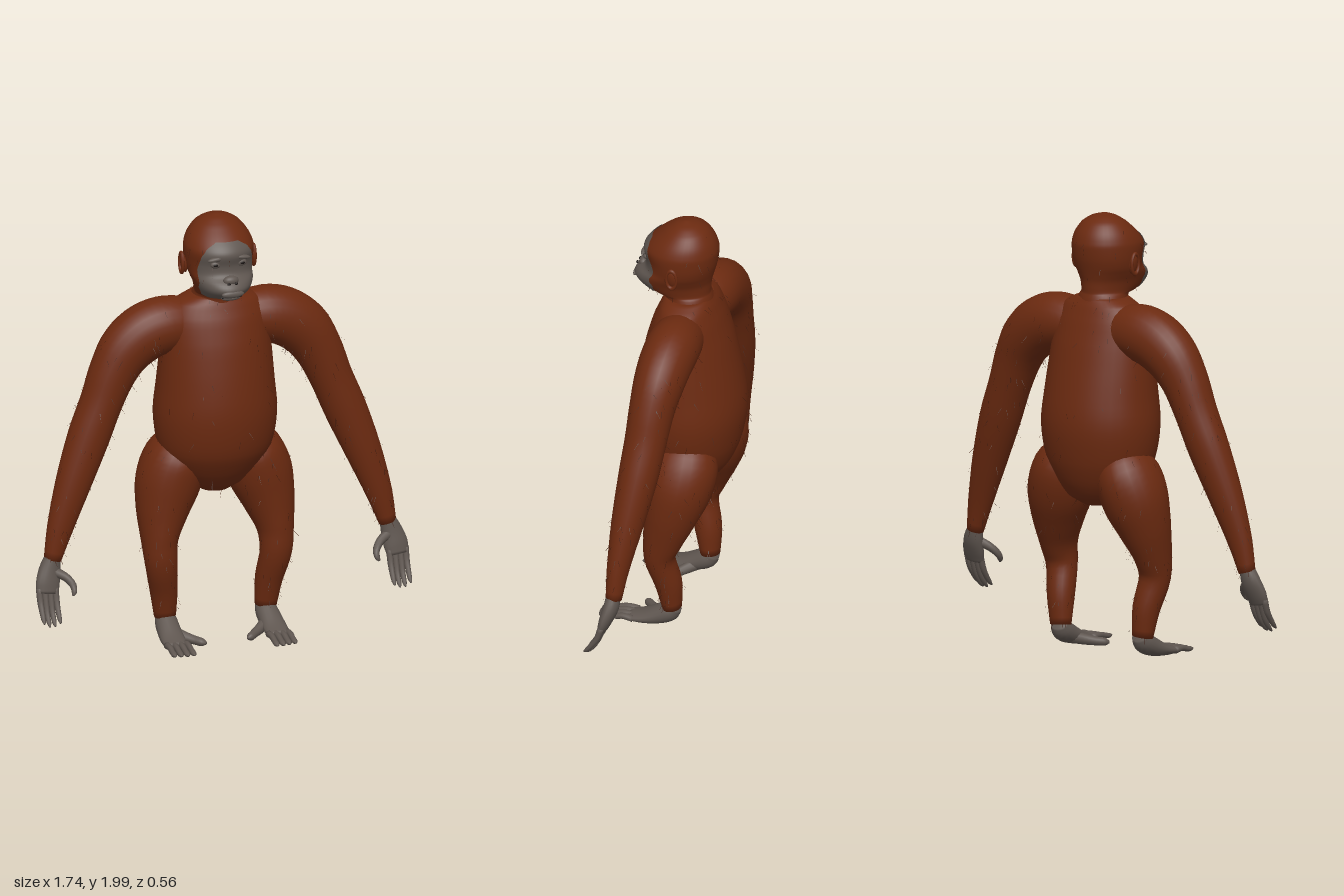
import * as THREE from 'three';
import { mergeGeometries } from 'three/addons/utils/BufferGeometryUtils.js';

const mat = (name, color) => Object.assign(new THREE.MeshStandardMaterial({ color }), { name });
const V = (x, y, z) => new THREE.Vector3(x, y, z);
const X = V(1, 0, 0), Y = V(0, 1, 0), Z = V(0, 0, 1);

// Smooth curves through rows of [x, y, z, width radius, depth radius]
function curves(rows) {
  return {
    centre: new THREE.CatmullRomCurve3(rows.map((r) => V(r[0], r[1], r[2]))),
    radius: new THREE.CatmullRomCurve3(rows.map((r) => V(r[3], r[4], 0)), false, 'catmullrom', 0.5),
  };
}

// Closed body of elliptical rings; depthDir is the direction of the depth radius
function loft(rows, { depthDir = Z, flat = false, segs = 24, steps = 4 } = {}) {
  const { centre, radius } = curves(rows);
  const n = (rows.length - 1) * steps, pos = [], idx = [];
  for (let i = 0; i <= n; i++) {
    const c = centre.getPoint(i / n), r = radius.getPoint(i / n);
    const t = flat ? Y : centre.getTangent(i / n);
    const b = depthDir.clone().addScaledVector(t, -depthDir.dot(t)).normalize();
    const a = b.clone().cross(t);
    for (let j = 0; j < segs; j++) {
      const q = (j / segs) * Math.PI * 2;
      const p = c.clone().addScaledVector(a, r.x * Math.cos(q)).addScaledVector(b, r.y * Math.sin(q));
      pos.push(p.x, p.y, p.z);
    }
  }
  for (let i = 0; i < n; i++) {
    for (let j = 0; j < segs; j++) {
      const k = (j + 1) % segs, a = i * segs, b = a + segs;
      idx.push(a + j, a + k, b + k, a + j, b + k, b + j);
    }
  }
  // End caps
  const s = pos.length / 3, last = n * segs;
  pos.push(...centre.getPoint(0).toArray(), ...centre.getPoint(1).toArray());
  for (let j = 0; j < segs; j++) {
    const k = (j + 1) % segs;
    idx.push(s, k, j, s + 1, last + j, last + k);
  }
  const g = new THREE.BufferGeometry();
  g.setAttribute('position', new THREE.Float32BufferAttribute(pos, 3));
  g.setIndex(idx);
  g.computeVertexNormals();
  return g;
}

// Sparse fine hairs hanging from a surface
function hairs(geo, count, seed) {
  let s = seed;
  const rnd = () => (s = (s * 16807) % 2147483647) / 2147483647;
  const P = geo.attributes.position, N = geo.attributes.normal, pos = [];
  for (let i = 0; i < count; i++) {
    const k = Math.floor(rnd() * (P.count - 2));
    const p = V().fromBufferAttribute(P, k), n = V().fromBufferAttribute(N, k);
    const dir = n.clone().multiplyScalar(0.45).add(V(rnd() - 0.5, -0.9, rnd() - 0.5)).normalize();
    const side = n.clone().cross(dir).normalize().multiplyScalar(0.0012);
    const tip = p.clone().addScaledVector(dir, 0.025 + 0.025 * rnd());
    for (const v of [p.clone().add(side), p.clone().sub(side), tip]) pos.push(v.x, v.y, v.z);
  }
  const g = new THREE.BufferGeometry();
  g.setAttribute('position', new THREE.Float32BufferAttribute(pos, 3));
  g.computeVertexNormals();
  return g;
}

// Head rings: y, half width, front z, back z
const headRows = [
  [1.58, 0.125, 0.10, 0.13], [1.635, 0.108, 0.105, 0.115], [1.648, 0.108, 0.165, 0.112], [1.67, 0.115, 0.21, 0.113],
  [1.70, 0.125, 0.235, 0.115], [1.73, 0.137, 0.22, 0.122], [1.76, 0.146, 0.183, 0.13], [1.80, 0.153, 0.176, 0.14],
  [1.85, 0.156, 0.188, 0.146], [1.88, 0.151, 0.176, 0.143], [1.92, 0.132, 0.138, 0.128], [1.96, 0.098, 0.09, 0.098],
  [1.985, 0.056, 0.048, 0.056], [1.997, 0.008, 0.008, 0.008],
].map(([y, w, f, b]) => [0, y, (f - b) / 2, w, (f + b) / 2]);

// Point on the front of the head at a given x and y
const headCurves = curves(headRows);
function headFront(x, y, lift = 0) {
  let lo = 0, hi = 1;
  for (let i = 0; i < 24; i++) {
    const m = (lo + hi) / 2;
    if (headCurves.centre.getPoint(m).y < y) lo = m; else hi = m;
  }
  const r = headCurves.radius.getPoint(lo), c = headCurves.centre.getPoint(lo);
  const sx = Math.min(0.985, Math.max(-0.985, x / r.x));
  return V(sx * (r.x + lift), y, c.z + (r.y + lift) * Math.sqrt(1 - sx * sx));
}

// Bare face skin, a thin sheet following the head
function faceGeometry() {
  const outline = [[1.646, 0.07], [1.66, 0.102], [1.70, 0.119], [1.78, 0.124], [1.85, 0.113], [1.885, 0.09], [1.91, 0.05]];
  const g = new THREE.PlaneGeometry(2, 1, 28, 36), P = g.attributes.position;
  for (let i = 0; i < P.count; i++) {
    const y = 1.646 + (P.getY(i) + 0.5) * 0.264;
    const k = Math.max(1, outline.findIndex((o) => o[0] >= y - 1e-6));
    const [a, b] = [outline[k - 1], outline[k]];
    const w = a[1] + ((b[1] - a[1]) * (y - a[0])) / (b[0] - a[0]);
    const p = headFront(w * Math.sin((P.getX(i) * Math.PI) / 2), y, 0.005);
    P.setXYZ(i, p.x, p.y, p.z);
  }
  g.computeVertexNormals();
  return g;
}

export function createModel() {
  const model = new THREE.Group();
  const fur = mat('rust fur', 0x6b2a10), skin = mat('grey skin', 0x5f5650);
  const dark = mat('dark features', 0x1c1614), hair = mat('dark hair', 0x3a170a);
  hair.side = skin.side = THREE.DoubleSide;
  const add = (name, geo, m, parent = model) => {
    const mesh = new THREE.Mesh(geo, m);
    mesh.name = name;
    parent.add(mesh);
    return mesh;
  };
  const furry = (name, geo, count, seed, parent) => {
    add(name, geo, fur, parent);
    add(name + 'Hair', hairs(geo, count, seed), hair, parent);
  };
  const blob = (name, m, p, sx, sy, sz, parent) => {
    const b = add(name, new THREE.SphereGeometry(1, 20, 14), m, parent);
    b.position.copy(p);
    b.scale.set(sx, sy, sz);
    return b;
  };

  // Torso rings: y, half width, front z, back z
  const torso = [
    [0.69, 0.07, 0.03, 0.11], [0.73, 0.14, 0.08, 0.17], [0.80, 0.205, 0.135, 0.215], [0.90, 0.258, 0.19, 0.25],
    [1.05, 0.28, 0.214, 0.27], [1.20, 0.268, 0.205, 0.252], [1.40, 0.25, 0.17, 0.205], [1.52, 0.235, 0.135, 0.165],
    [1.59, 0.195, 0.105, 0.135], [1.625, 0.12, 0.09, 0.115],
  ].map(([y, w, f, b]) => [0, y, (f - b) / 2, w, (f + b) / 2]);
  furry('torso', loft(torso, { flat: true, segs: 40 }), 110, 11);

  // Head and face
  furry('head', loft(headRows, { flat: true, segs: 40 }), 60, 23);
  add('face', faceGeometry(), skin);
  blob('nose', skin, headFront(0, 1.745), 0.036, 0.022, 0.022);
  blob('upperLip', skin, headFront(0, 1.69), 0.052, 0.017, 0.014);
  blob('lowerLip', skin, headFront(0, 1.664), 0.046, 0.013, 0.016);
  const lip = [-2, -1, 0, 1, 2].map((i) => headFront(i * 0.021, 1.676 - 0.001 * i * i, 0.011));
  add('mouth', new THREE.TubeGeometry(new THREE.CatmullRomCurve3(lip), 16, 0.0045, 6), dark);

  for (const s of [1, -1]) {
    const side = s > 0 ? 'left' : 'right';
    const m = (rows) => rows.map(([x, ...r]) => [x * s, ...r]);

    // Eyes, brows, nostrils and ears
    const features = new THREE.Group();
    features.name = side + 'HeadFeatures';
    model.add(features);
    blob('eyelid', skin, headFront(0.058 * s, 1.814), 0.026, 0.017, 0.013, features);
    blob('eye', dark, headFront(0.058 * s, 1.814, 0.009), 0.013, 0.008, 0.006, features);
    blob('brow', skin, headFront(0.058 * s, 1.842), 0.042, 0.011, 0.013, features).rotation.z = -0.12 * s;
    blob('nostril', dark, headFront(0.015 * s, 1.738, 0.018), 0.008, 0.006, 0.005, features);
    blob('ear', fur, V(0.158 * s, 1.78, 0.008), 0.014, 0.045, 0.026, features).rotation.z = -0.15 * s;
    const rim = add('earRim', new THREE.TorusGeometry(0.03, 0.007, 8, 24), fur, features);
    rim.position.set(0.168 * s, 1.782, 0.008);
    rim.rotation.set(0, Math.PI / 2, 0);
    rim.scale.set(0.8, 1.5, 1.2);

    // Arm
    furry(side + 'Arm', loft(m([
      [0.10, 1.47, -0.03, 0.11, 0.10], [0.22, 1.485, -0.03, 0.128, 0.12], [0.32, 1.46, -0.03, 0.132, 0.12],
      [0.41, 1.395, -0.027, 0.125, 0.113], [0.475, 1.30, -0.02, 0.11, 0.102], [0.535, 1.16, -0.012, 0.097, 0.094],
      [0.60, 1.00, 0, 0.096, 0.088], [0.677, 0.80, 0.02, 0.082, 0.072], [0.745, 0.60, 0.038, 0.06, 0.05],
      [0.782, 0.46, 0.045, 0.04, 0.036],
    ])), 170, 37 + s);

    // Hand with four curled fingers and a thumb
    const round = { depthDir: X, segs: 10, steps: 3 };
    const hand = [loft(m([
      [0.779, 0.48, 0.045, 0.034, 0.032], [0.797, 0.42, 0.052, 0.049, 0.034], [0.812, 0.36, 0.07, 0.056, 0.028],
      [0.818, 0.315, 0.084, 0.05, 0.02],
    ]), { segs: 18 })];
    for (let i = 0; i < 4; i++) {
      const x = 0.78 + 0.025 * i, d = [0.012, 0, 0, 0.016][i];
      hand.push(loft(m([
        [x, 0.34, 0.078, 0.015, 0.015], [x, 0.285, 0.095, 0.014, 0.014], [x, 0.235 + d, 0.115, 0.0125, 0.0125],
        [x, 0.198 + d, 0.143, 0.01, 0.01], [x, 0.184 + d, 0.158, 0.004, 0.004],
      ]), round));
    }
    hand.push(loft(m([
      [0.785, 0.41, 0.06, 0.024, 0.024], [0.735, 0.385, 0.085, 0.019, 0.019], [0.708, 0.352, 0.112, 0.016, 0.016],
      [0.708, 0.325, 0.13, 0.012, 0.012], [0.716, 0.312, 0.137, 0.005, 0.005],
    ]), { segs: 10, steps: 3 }));
    add(side + 'Hand', mergeGeometries(hand), skin);

    // Leg
    furry(side + 'Leg', loft(m([
      [0.13, 0.95, -0.05, 0.08, 0.10], [0.175, 0.85, -0.055, 0.135, 0.155], [0.215, 0.73, -0.045, 0.147, 0.152],
      [0.25, 0.60, -0.02, 0.117, 0.122], [0.27, 0.48, 0.008, 0.083, 0.092], [0.268, 0.38, 0.025, 0.073, 0.07],
      [0.246, 0.24, -0.008, 0.063, 0.062], [0.235, 0.11, -0.022, 0.05, 0.044],
    ])), 100, 51 + s);

    // Foot with four toes and an opposed big toe
    const foot = [loft(m([
      [0.232, 0.115, -0.04, 0.04, 0.03], [0.234, 0.085, -0.012, 0.05, 0.047], [0.237, 0.056, 0.045, 0.054, 0.042],
      [0.239, 0.036, 0.11, 0.056, 0.028], [0.239, 0.026, 0.175, 0.052, 0.016],
    ]), { depthDir: Y, segs: 18 })];
    for (let i = 0; i < 4; i++) {
      const x = 0.194 + 0.029 * i, d = [0, 0, 0.004, 0.01][i];
      foot.push(loft(m([
        [x, 0.03, 0.15, 0.016, 0.016], [x, 0.034, 0.195, 0.014, 0.014], [x, 0.026, 0.235 - d, 0.013, 0.013],
        [x, 0.022, 0.265 - d, 0.013, 0.011], [x, 0.022, 0.283 - d, 0.004, 0.004],
      ]), { depthDir: Y, segs: 10, steps: 3 }));
    }
    foot.push(loft(m([
      [0.225, 0.05, 0.03, 0.03, 0.03], [0.18, 0.035, 0.075, 0.024, 0.025], [0.14, 0.026, 0.11, 0.02, 0.02],
      [0.112, 0.022, 0.138, 0.018, 0.018], [0.097, 0.02, 0.15, 0.006, 0.006],
    ]), { depthDir: Y, segs: 12, steps: 3 }));
    add(side + 'Foot', mergeGeometries(foot), skin);
  }
  return model;
}
